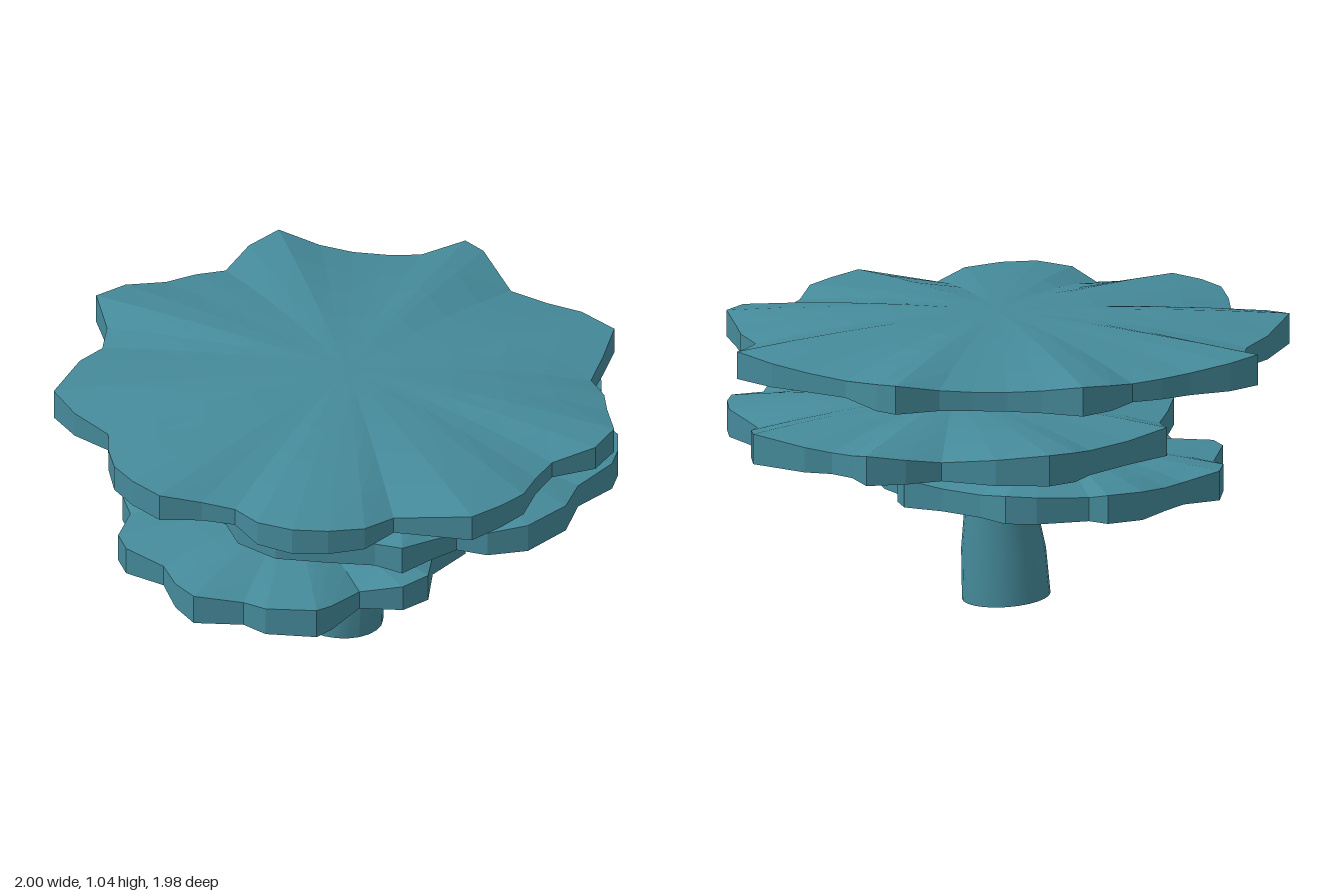
import * as THREE from 'three';

// Wavy shelf outlines as x, z pairs, running from +x towards +z
const topOutline = [
  .22, -.99, .32, -.87, .41, -.79, .51, -.72, .61, -.66, .77, -.63, .80, -.55, .79, -.32, .86, -.18, .93, -.05,
  .97, .12, .87, .23, .77, .33, .76, .45, .72, .55, .67, .70, .56, .77, .40, .75, .30, .82, .20, .92, .09, .96,
  -.04, .99, -.26, .82, -.40, .87, -.53, .84, -.64, .78, -.72, .67, -.73, .52, -.82, .44, -.95, .37, -.99, .24,
  -1, .12, -.96, 0, -.90, -.12, -.96, -.26, -.97, -.40, -.78, -.57, -.66, -.63, -.59, -.73, -.55, -.89,
  -.42, -.92, -.27, -.90, -.15, -.905, -.04, -.89, .09, -.965,
];
const middleOutline = [
  1, -.04, .95, .06, .87, .15, .86, .23, .86, .36, .81, .46, .75, .53, .59, .58, .48, .70, .30, .76, .16, .72,
  .08, .64, -.04, .66, -.16, .69, -.22, .60, -.37, .50, -.51, .40, -.58, .25, -.56, .12, -.62, 0, -.63, -.14,
  -.57, -.28, -.475, -.40, -.37, -.52, -.31, -.67, -.12, -.72, .07, -.785, .17, -.85, .28, -.86, .44, -.76,
  .565, -.60, .70, -.58, .83, -.53, .81, -.40, .84, -.31, .91, -.24,
];
const lowerOutline = [
  .385, -.04, .36, .05, .30, .14, .30, .24, .265, .35, .10, .42, .01, .56, -.10, .58, -.23, .50, -.38, .58,
  -.45, .60, -.60, .50, -.64, .41, -.79, .32, -.80, .20, -.77, .05, -.85, -.08, -.835, -.17, -.72, -.30,
  -.70, -.40, -.62, -.51, -.48, -.50, -.376, -.55, -.235, -.63, -.10, -.62, -.065, -.55, .12, -.50, .21, -.44,
  .235, -.31, .30, -.16,
];

// Flat-bottomed, pleated dome: rings from the apex to the rim, down the side and in to the base centre
function shelfGeometry(outline, cx, cz, bottom, rim, apex) {
  const points = [];
  for (let i = 0; i < outline.length; i += 2) points.push([outline[i] - cx, outline[i + 1] - cz]);
  const radii = points.map(([x, z]) => Math.hypot(x, z));
  const maxRadius = Math.max(...radii);
  const steps = 5;
  const rings = [];
  for (let k = 0; k <= steps; k++) {
    const t = k / steps;
    rings.push(points.map(([x, z], i) => {
      // the rim dips where the outline draws in
      const edge = Math.max(rim - 0.05, rim - 0.3 * (maxRadius - radii[i]));
      return [cx + x * t, apex - (apex - edge) * t * t, cz + z * t];
    }));
  }
  rings.push(points.map(([x, z]) => [cx + x, bottom, cz + z]));
  rings.push(points.map(() => [cx, bottom, cz]));

  const positions = [];
  const n = points.length;
  for (let k = 0; k < rings.length - 1; k++) {
    for (let i = 0; i < n; i++) {
      const j = (i + 1) % n;
      const a = rings[k][i], b = rings[k][j], c = rings[k + 1][i], d = rings[k + 1][j];
      if (k < rings.length - 2) positions.push(...a, ...d, ...c);
      if (k > 0) positions.push(...a, ...b, ...d);
    }
  }
  const geometry = new THREE.BufferGeometry();
  geometry.setAttribute('position', new THREE.Float32BufferAttribute(positions, 3));
  geometry.computeVertexNormals();
  return geometry;
}

// Tapering stem with a slightly slanted base; sections are [y, minX, maxX, minZ, maxZ]
function stemGeometry() {
  const sections = [
    [0.015, -.20, .11, -.17, .14],
    [0.19, -.185, .112, -.16, .138],
    [0.39, -.135, .102, -.14, .105],
    [0.53, -.12, .104, -.132, .098],
    [0.63, -.115, .10, -.13, .09],
    [0.77, -.105, .072, -.12, .062],
    [0.95, -.12, .025, -.11, .035],
  ];
  const geometry = new THREE.CylinderGeometry(1, 1, 1, 24, sections.length - 1);
  const p = geometry.attributes.position;
  for (let i = 0; i < p.count; i++) {
    const level = Math.round((p.getY(i) + 0.5) * (sections.length - 1));
    const [y, x0, x1, z0, z1] = sections[level];
    const x = (x0 + x1) / 2 + p.getX(i) * (x1 - x0) / 2;
    const z = (z0 + z1) / 2 + p.getZ(i) * (z1 - z0) / 2;
    p.setXYZ(i, x, level === 0 ? y - 0.08 * (x + 0.02) : y, z);
  }
  geometry.computeVertexNormals();
  return geometry;
}

export function createModel() {
  const model = new THREE.Group();
  model.name = 'shelfFungus';
  const teal = new THREE.MeshStandardMaterial({ color: 0x458a9a });
  teal.name = 'teal';

  const add = (name, geometry) => {
    const mesh = new THREE.Mesh(geometry, teal);
    mesh.name = name;
    model.add(mesh);
  };
  add('stem', stemGeometry());
  add('lowerShelf', shelfGeometry(lowerOutline, -.23, -.01, 0.39, 0.5, 0.538));
  add('middleShelf', shelfGeometry(middleOutline, .18, -.04, 0.62, 0.73, 0.77));
  add('topShelf', shelfGeometry(topOutline, -.02, 0, 0.89, 1.0, 1.04));
  return model;
}
